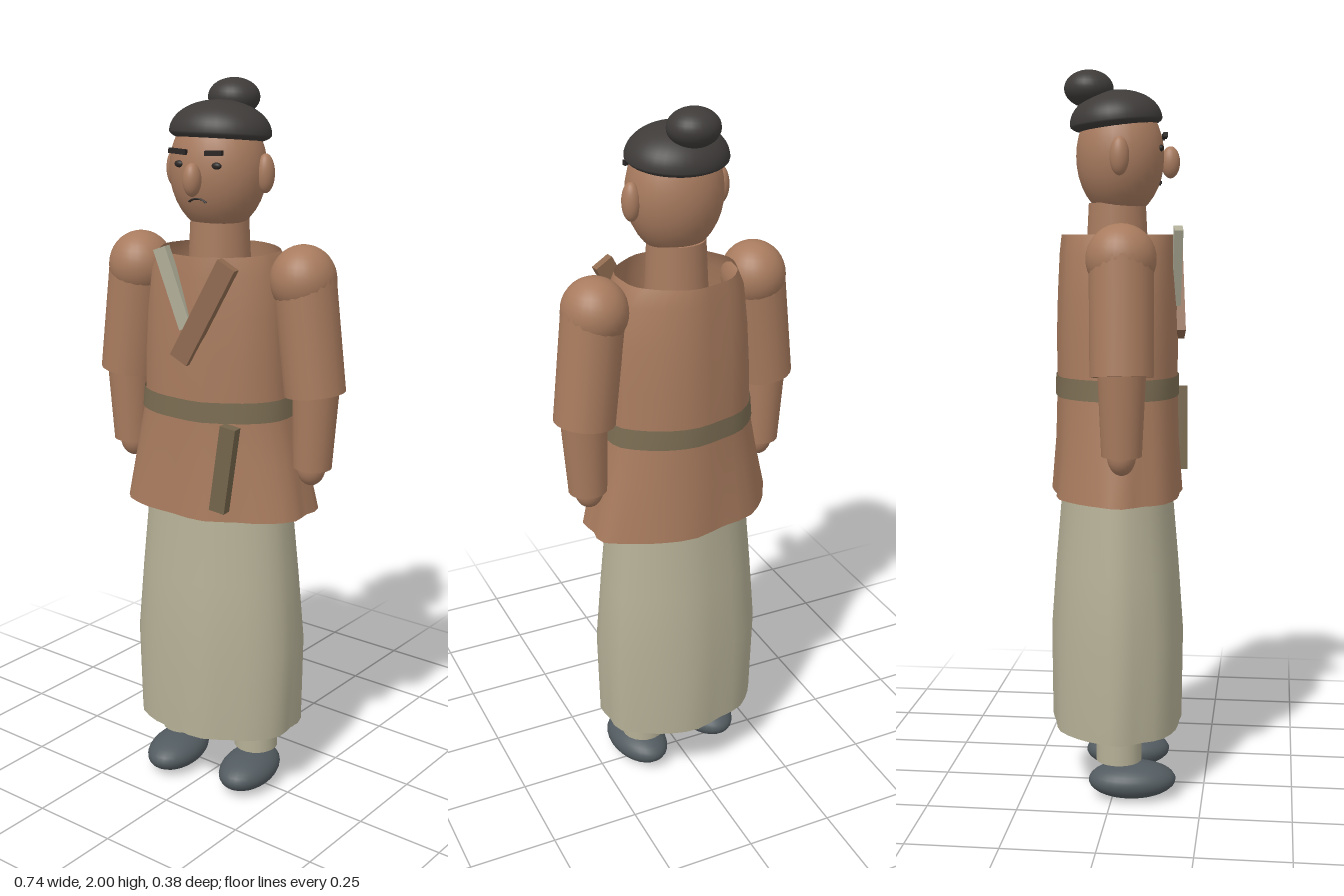
import * as THREE from 'three';
import { mergeVertices } from 'three/addons/utils/BufferGeometryUtils.js';

function makeMaterial(name, color, side = THREE.FrontSide) {
  const m = new THREE.MeshStandardMaterial({ color, side });
  m.name = name;
  return m;
}

// Open cloth tube through rows of [y, rx, rz, fold depth], listed from the top
function cloth(rows, grow = 0, seg = 36) {
  const g = new THREE.CylinderGeometry(1, 1, 1, seg, rows.length - 1, true);
  const p = g.attributes.position;
  for (let i = 0; i < p.count; i++) {
    const [y, rx, rz, fold] = rows[Math.floor(i / (seg + 1))];
    const a = ((i % (seg + 1)) % seg) / seg * Math.PI * 2;
    const k = 1 + fold * (0.7 * Math.sin(7 * a + 0.6) + 0.3 * Math.sin(11 * a));
    p.setXYZ(i, Math.sin(a) * (rx * k + grow), y, Math.cos(a) * (rz * k + grow));
  }
  g.deleteAttribute('uv');
  g.deleteAttribute('normal');
  const merged = mergeVertices(g);
  merged.computeVertexNormals();
  return merged;
}

export function createModel() {
  const model = new THREE.Group();
  model.name = 'robedFigure';
  const body = new THREE.Group();
  body.name = 'body';
  body.rotation.y = 0.15;
  model.add(body);

  const skin = makeMaterial('skin', 0xa87b5f);
  const tunicCloth = makeMaterial('tunic cloth', 0xa87b5e, THREE.DoubleSide);
  const skirtCloth = makeMaterial('skirt cloth', 0xb5b096, THREE.DoubleSide);
  const palePiece = makeMaterial('pale collar', 0xb0ae98);
  const trim = makeMaterial('brown trim', 0x8f6a50);
  const beltCloth = makeMaterial('belt cloth', 0x7a6c52, THREE.DoubleSide);
  const wood = makeMaterial('sheath', 0x74644b);
  const hairMat = makeMaterial('hair', 0x3e3b39);
  const shoeMat = makeMaterial('shoe', 0x525b60);
  const dark = makeMaterial('face detail', 0x2a2624);

  function add(name, geometry, material, x = 0, y = 0, z = 0) {
    const mesh = new THREE.Mesh(geometry, material);
    mesh.name = name;
    mesh.position.set(x, y, z);
    body.add(mesh);
    return mesh;
  }
  function ball(name, material, x, y, z, rx, ry, rz) {
    return add(name, new THREE.SphereGeometry(1, 28, 18).scale(rx, ry, rz), material, x, y, z);
  }

  // Skirt, tunic and belt
  add('skirt', cloth([
    [1.0, 0.2, 0.148, 0.005], [0.85, 0.214, 0.155, 0.01], [0.65, 0.233, 0.172, 0.015],
    [0.45, 0.25, 0.186, 0.02], [0.19, 0.243, 0.182, 0.035],
  ]), skirtCloth);
  const waist = [[1.178, 0.216, 0.166, 0.02], [1.122, 0.222, 0.167, 0.02]];
  add('tunic', cloth([
    [1.56, 0.165, 0.153, 0.02], [1.51, 0.19, 0.158, 0.025], [1.4, 0.205, 0.163, 0.03],
    [1.28, 0.213, 0.167, 0.025], ...waist, [1.0, 0.25, 0.17, 0.025], [0.85, 0.283, 0.18, 0.045],
  ]), tunicCloth);
  add('belt', cloth(waist, 0.004), beltCloth);

  // Arms, legs and shoes
  for (const [side, s] of [['left', 1], ['right', -1]]) {
    ball(side + 'Shoulder', tunicCloth, s * 0.25, 1.497, 0, 0.088, 0.092, 0.092);
    const upper = add(side + 'Sleeve', new THREE.CylinderGeometry(0.084, 0.083, 0.31, 20), tunicCloth, s * 0.272, 1.35, 0);
    upper.rotation.z = s * 0.12;
    const lower = add(side + 'Cuff', new THREE.CylinderGeometry(0.064, 0.053, 0.24, 20), tunicCloth, s * 0.29, 1.11, 0);
    lower.rotation.z = s * -0.03;
    ball(side + 'Hand', skin, s * 0.283, 0.99, 0, 0.04, 0.052, 0.038);
    add(side + 'Leg', new THREE.CylinderGeometry(0.063, 0.063, 0.6, 20), skirtCloth, s * 0.122, 0.41, 0);
    ball(side + 'Shoe', shoeMat, s * 0.121, 0.05, 0.037, 0.078, 0.05, 0.122);

    // Ear, eye and brow
    ball(side + 'Ear', skin, s * 0.136, 1.765, 0, 0.024, 0.051, 0.026);
    ball(side + 'Eye', dark, s * 0.055, 1.79, 0.115, 0.014, 0.009, 0.008);
    const brow = add(side + 'Brow', new THREE.BoxGeometry(0.05, 0.013, 0.012), dark, s * 0.053, 1.823, 0.126);
    brow.rotation.z = s * 0.06;
  }

  // Neck and head
  add('neck', new THREE.CylinderGeometry(0.078, 0.085, 0.14, 24), skin, 0, 1.575, 0);
  ball('head', skin, 0, 1.77, 0.008, 0.132, 0.165, 0.12);
  ball('nose', skin, 0, 1.755, 0.145, 0.024, 0.043, 0.026);
  add('mouth', new THREE.TorusGeometry(0.028, 0.004, 6, 12, Math.PI * 0.7).rotateZ(Math.PI * 0.15).scale(1, 0.6, 1),
    dark, 0, 1.687, 0.117);

  // Hair cap and topknot
  const cap = add('hairCap', new THREE.SphereGeometry(1, 32, 16, 0, Math.PI * 2, 0, Math.PI * 0.5)
    .scale(0.138, 0.085, 0.126), hairMat, 0, 1.862, -0.003);
  cap.rotation.x = -0.1;
  const capBase = add('hairBase', new THREE.SphereGeometry(1, 32, 10, 0, Math.PI * 2, Math.PI * 0.5, Math.PI * 0.5)
    .scale(0.138, 0.03, 0.126), hairMat, 0, 1.862, -0.003);
  capBase.rotation.x = -0.1;
  ball('topknot', hairMat, 0, 1.95, -0.077, 0.07, 0.05, 0.067);

  // Crossed collar bands and the sheath at the waist
  function bar(name, material, w, h, d, x, y, z, tilt) {
    add(name, new THREE.BoxGeometry(w, h, d), material, x, y, z).rotation.z = tilt;
  }
  bar('innerCollar', palePiece, 0.038, 0.22, 0.024, -0.046, 1.475, 0.161, 0.36);
  bar('outerCollar', trim, 0.056, 0.3, 0.024, 0.05, 1.42, 0.174, -0.5);
  bar('sheath', wood, 0.046, 0.24, 0.03, 0.121, 1.01, 0.19, -0.14);

  return model;
}
